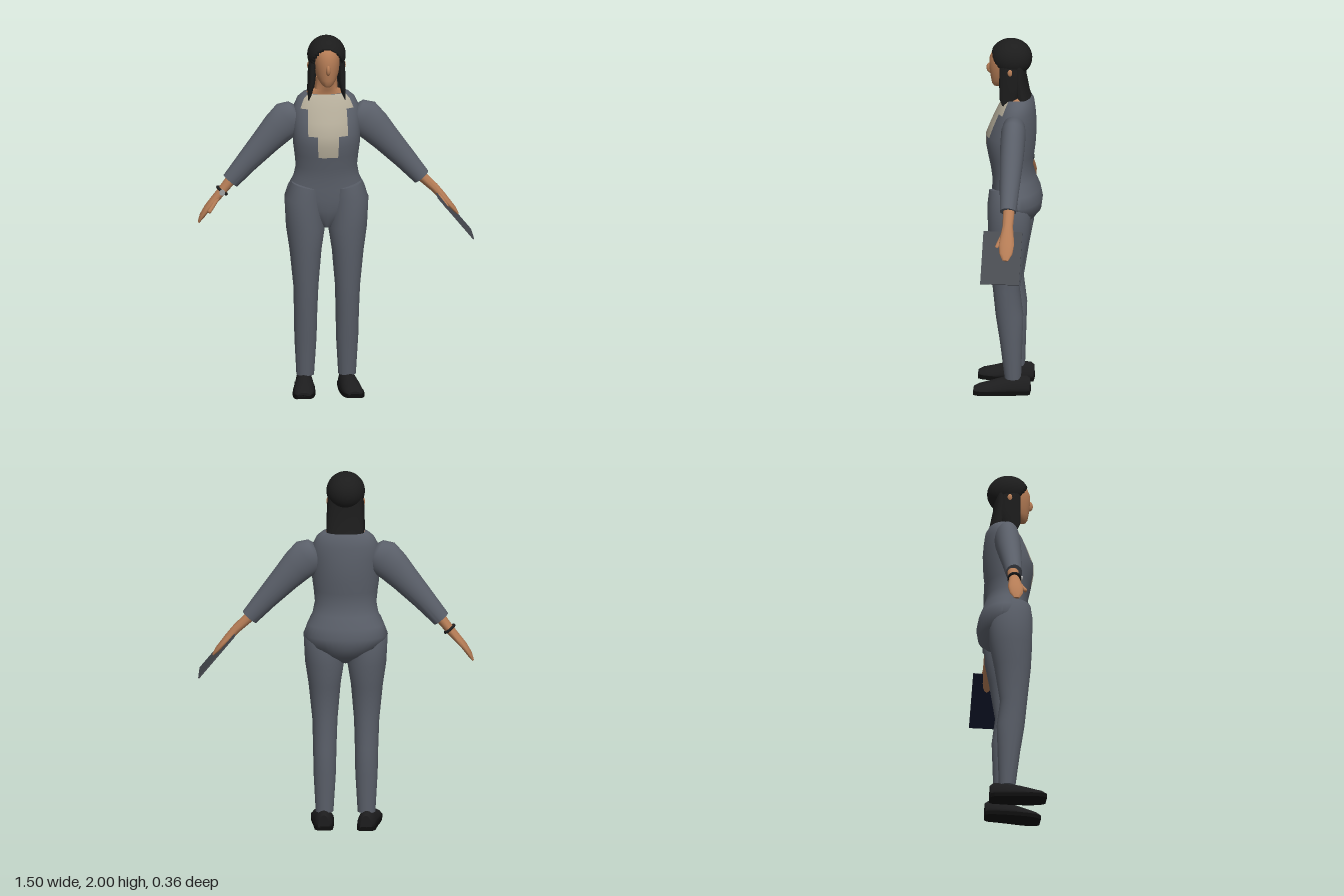
import * as THREE from 'three';
import { toCreasedNormals } from 'three/addons/utils/BufferGeometryUtils.js';

const CX = -0.053; // body centre line
const V = (x, y, z) => new THREE.Vector3(x, y, z);

function material(name, color) {
  const m = new THREE.MeshStandardMaterial({ color });
  m.name = name;
  return m;
}

// Skin elliptical sections {c, u, v} and close both ends; pick(row, angle) chooses a material index
function loft(sections, segs = 32, pick = null, floor = -1) {
  const first = sections[0], last = sections[sections.length - 1], zero = V(0, 0, 0);
  const rings = [{ c: first.c, u: zero, v: zero }, ...sections, { c: last.c, u: zero, v: zero }];
  const pos = [], lists = [[], []];
  for (const { c, u, v } of rings) {
    for (let j = 0; j < segs; j++) {
      const a = (j / segs) * Math.PI * 2;
      const p = c.clone().addScaledVector(u, Math.sin(a)).addScaledVector(v, Math.cos(a));
      pos.push(p.x, Math.max(p.y, floor), p.z);
    }
  }
  for (let i = 0; i < rings.length - 1; i++) {
    for (let j = 0; j < segs; j++) {
      const k = (j + 1) % segs, a = i * segs + j, b = i * segs + k, c = a + segs, d = b + segs;
      const list = lists[pick ? pick(i - 1, ((j + 0.5) / segs) * 360) : 0];
      if (i > 0) list.push(a, b, d);
      if (i < rings.length - 2) list.push(a, d, c);
      if (i === 0) list.push(a, d, c);
    }
  }
  // Remove the repeated triangles of the first cap
  const g = new THREE.BufferGeometry();
  g.setAttribute('position', new THREE.Float32BufferAttribute(pos, 3));
  g.setIndex([...lists[0], ...lists[1]]);
  if (pick) {
    g.addGroup(0, lists[0].length, 0);
    g.addGroup(lists[0].length, lists[1].length, 1);
  }
  return toCreasedNormals(g, 0.9);
}

// Upright sections from rows [y, x, halfWidth, zFront, zBack], bottom to top
const upright = rows => rows.map(([y, x, hw, zf, zb]) =>
  ({ c: V(x, y, (zf + zb) / 2), u: V(hw, 0, 0), v: V(0, 0, (zf - zb) / 2) }));

// Limb sections from rows [x, y, radius, zRadius] along a path at depth z
function limb(rows, z) {
  return rows.map(([x, y, r, rz], i) => {
    const p = rows[Math.max(i - 1, 0)], q = rows[Math.min(i + 1, rows.length - 1)];
    const w = V(q[0] - p[0], q[1] - p[1], 0).normalize();
    return { c: V(x, y, z), u: w.cross(V(0, 0, 1)).multiplyScalar(r), v: V(0, 0, rz) };
  });
}

export function createModel() {
  const model = new THREE.Group();
  const suit = material('suit grey', 0x5a5f69), shirt = material('shirt beige', 0xb5ad9a);
  const skin = material('skin', 0xb67d56), hair = material('hair black', 0x1c1c1c);
  const shoe = material('shoe black', 0x1d1d1e), sole = material('sole black', 0x0e0e0e);
  const cover = material('tablet grey', 0x484b51), screen = material('tablet navy', 0x161d33);
  const metal = material('watch grey', 0xa0a0a0);

  function add(name, geometry, mat, parent = model) {
    const m = new THREE.Mesh(geometry, mat);
    m.name = name;
    parent.add(m);
    return m;
  }
  function ball(name, mat, x, y, z, sx, sy, sz) {
    const m = add(name, new THREE.SphereGeometry(1, 20, 14), mat);
    m.position.set(x, y, z);
    m.scale.set(sx, sy, sz);
    return m;
  }

  // Jacket, with the stepped shirt front on its upper rows
  const torso = [
    [0.93, 0.03, 0.045, -0.06], [0.98, 0.11, 0.07, -0.135], [1.03, 0.19, 0.082, -0.174],
    [1.09, 0.228, 0.088, -0.182], [1.15, 0.21, 0.09, -0.17], [1.21, 0.18, 0.092, -0.146],
    [1.27, 0.168, 0.1, -0.128], [1.34, 0.175, 0.115, -0.135], [1.4, 0.183, 0.126, -0.143],
    [1.46, 0.185, 0.127, -0.147], [1.53, 0.185, 0.1, -0.148], [1.6, 0.18, 0.068, -0.142],
    [1.65, 0.155, 0.043, -0.135], [1.675, 0.125, 0.025, -0.122],
  ].map(([y, ...r]) => [y, CX, ...r]);
  const shirtFront = (row, deg) => {
    const a = Math.min(deg, 360 - deg);
    const limit = row < 7 || row > 12 ? 0 : row < 9 ? 18 : row < 11 ? 36 : 54;
    return a < limit ? 1 : 0;
  };
  add('jacket', loft(upright(torso), 40, shirtFront), [suit, shirt]);

  // Neck and head
  add('neck', loft(upright([
    [1.655, CX, 0.12, 0.02, -0.12], [1.683, CX, 0.1, 0.02, -0.115], [1.7, CX, 0.064, 0.028, -0.1],
    [1.77, CX, 0.057, 0.045, -0.08],
  ])), skin);
  add('face', loft(upright([
    [1.732, CX, 0.018, 0.085, 0.05], [1.745, CX, 0.035, 0.095, 0.0], [1.77, CX, 0.052, 0.1, -0.05],
    [1.8, CX, 0.063, 0.105, -0.08], [1.84, CX, 0.07, 0.11, -0.09], [1.89, CX, 0.073, 0.11, -0.09],
    [1.93, CX, 0.068, 0.094, -0.08], [1.96, CX, 0.045, 0.06, -0.05],
  ])), skin);
  ball('nose', skin, CX, 1.832, 0.105, 0.013, 0.03, 0.021);

  // Hair cap, cut back along an arched hairline
  const cap = new THREE.SphereGeometry(1, 48, 40);
  cap.scale(0.105, 0.105, 0.115);
  cap.translate(0, 1.895, -0.01);
  const p = cap.attributes.position;
  for (let i = 0; i < p.count; i++) {
    const hairline = 1.94 - 13 * p.getX(i) ** 2;
    if (p.getY(i) < hairline && p.getZ(i) > 0.045) p.setZ(i, 0.045);
  }
  cap.computeVertexNormals();
  cap.translate(CX, 0, 0);
  add('hairCap', cap, hair);
  add('backHair', loft(upright([
    [1.66, CX, 0.102, -0.03, -0.125], [1.7, CX, 0.101, -0.025, -0.112],
    [1.8, CX, 0.095, -0.02, -0.092], [1.88, CX, 0.09, -0.02, -0.09],
  ])), hair);

  // Sole outline and shoe sections [z, offset, halfWidth, height]
  const foot = [
    [-0.125, 0.115, 0.032, 0.085], [-0.105, 0.116, 0.045, 0.1], [-0.02, 0.12, 0.051, 0.097],
    [0.04, 0.126, 0.055, 0.085], [0.1, 0.132, 0.057, 0.067], [0.155, 0.138, 0.051, 0.052],
    [0.182, 0.14, 0.036, 0.036],
  ];

  for (const s of [1, -1]) {
    const side = s > 0 ? 'left' : 'right';
    const at = d => CX + s * d;

    // Hair strands and ears
    add(side + 'HairStrand', loft(upright([
      [1.645, at(0.1), 0.003, 0.03, 0.01], [1.68, at(0.092), 0.012, 0.045, -0.05],
      [1.75, at(0.083), 0.021, 0.048, -0.06], [1.84, at(0.079), 0.022, 0.048, -0.06],
      [1.9, at(0.075), 0.02, 0.045, -0.05],
    ]), 20), hair);
    ball(side + 'Ear', skin, at(0.094), 1.835, -0.012, 0.012, 0.023, 0.015);

    // Trouser leg rows [y, inner, outer, zFront, zBack]
    const leg = [
      [0.085, 0.066, 0.163, 0.015, -0.075], [0.3, 0.053, 0.175, 0.042, -0.082],
      [0.45, 0.05, 0.178, 0.065, -0.087], [0.6, 0.045, 0.183, 0.08, -0.068],
      [0.8, 0.028, 0.203, 0.1, -0.1], [0.93, 0.008, 0.222, 0.107, -0.125],
      [1.09, 0.022, 0.23, 0.108, -0.13], [1.165, 0.03, 0.192, 0.1, -0.1],
    ].map(([y, a, b, zf, zb]) => [y, at((a + b) / 2), (b - a) / 2, zf, zb]);
    const legRings = upright(leg);
    legRings[legRings.length - 1].u.y = s * 0.018; // waistband slants up outward
    add(side + 'TrouserLeg', loft(legRings), suit);

    // Shoe and sole
    add(side + 'Shoe', loft(foot.map(([z, d, hw, h]) =>
      ({ c: V(at(d), 0.018, z), u: V(-hw, 0, 0), v: V(0, h - 0.018, 0) })), 24, null, 0.016), shoe);
    const edge = foot.map(([z, d, hw]) => new THREE.Vector2(at(d) + hw + 0.005, -z));
    const other = foot.map(([z, d, hw]) => new THREE.Vector2(at(d) - hw - 0.005, -z)).reverse();
    const soleGeo = new THREE.ExtrudeGeometry(new THREE.Shape([...edge, ...other]), { depth: 0.022, bevelEnabled: false });
    add(side + 'Sole', soleGeo.rotateX(-Math.PI / 2), sole);

    // Sleeve
    add(side + 'Sleeve', loft(limb([
      [0.148, 1.565, 0.045, 0.04], [0.165, 1.555, 0.08, 0.058], [0.205, 1.53, 0.102, 0.067],
      [0.263, 1.475, 0.093, 0.067], [0.323, 1.41, 0.08, 0.064], [0.431, 1.29, 0.062, 0.054],
      [0.523, 1.183, 0.049, 0.045],
    ].map(([d, ...r]) => [at(d), ...r]), -0.042)), suit);

    // Hand and thumb
    const path = s > 0
      ? [[0.45, 1.205], [0.54, 1.12], [0.585, 1.07], [0.61, 1.04], [0.645, 1.0], [0.67, 0.968]]
      : [[-0.56, 1.205], [-0.627, 1.12], [-0.67, 1.07], [-0.7, 1.035], [-0.731, 0.988], [-0.75, 0.952]];
    const size = [[0.03, 0.032], [0.025, 0.029], [0.021, 0.038], [0.018, 0.042], [0.014, 0.036], [0.005, 0.015]];
    add(side + 'Hand', loft(limb(path.map((q, i) => [...q, ...size[i]]), -0.047), 20), skin);
    const from = V(path[1][0] + s * 0.015, 1.095, -0.028), to = V(path[3][0] - s * 0.006, 1.025, 0.006);
    const thumb = add(side + 'Thumb', new THREE.CapsuleGeometry(0.011, from.distanceTo(to), 6, 12), skin);
    thumb.position.copy(from).lerp(to, 0.5);
    thumb.quaternion.setFromUnitVectors(V(0, 1, 0), to.sub(from).normalize());
  }

  // Wristwatch on the right arm
  const band = add('watchBand', new THREE.TorusGeometry(0.031, 0.008, 10, 28), shoe);
  band.position.set(-0.622, 1.128, -0.045);
  band.quaternion.setFromUnitVectors(V(0, 0, 1), V(-0.64, -0.77, 0).normalize());
  const dial = add('watchFace', new THREE.CylinderGeometry(0.016, 0.016, 0.009, 20), metal);
  dial.rotation.x = Math.PI / 2;
  dial.position.set(-0.624, 1.126, -0.005);

  // Tablet held in the left hand, screen facing the body
  const tablet = add('tablet', new THREE.BoxGeometry(0.308, 0.007, 0.213),
    [cover, cover, cover, screen, cover, cover]);
  tablet.position.set(0.648, 0.975, -0.022);
  tablet.rotation.z = -0.884;

  return model;
}
